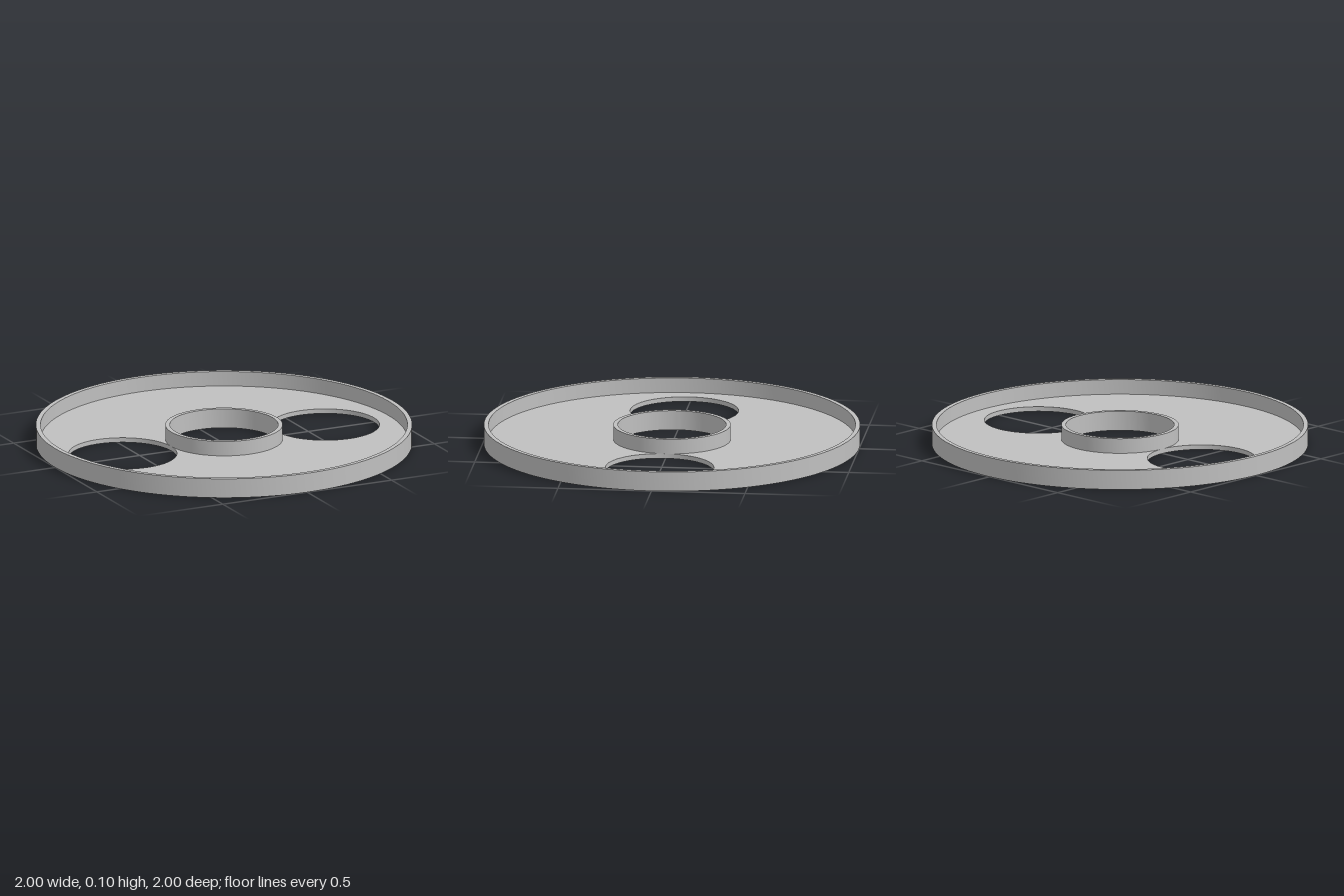
import * as THREE from 'three';
import { toCreasedNormals } from 'three/addons/utils/BufferGeometryUtils.js';

const HEIGHT = 0.105, FLOOR = 0.025;
const HOLE_R = 0.288, HOLE_X = 0.6;
const HUB_R = 0.312, RIM_INNER = 0.975;

// Flat disc standing on y = 0, pierced by round holes given as [x, radius]
function piercedDisc(radius, height, holes) {
  const shape = new THREE.Shape().absarc(0, 0, radius, 0, Math.PI * 2);
  for (const [x, r] of holes) {
    shape.holes.push(new THREE.Path().absarc(x, 0, r, 0, Math.PI * 2, true));
  }
  const geometry = new THREE.ExtrudeGeometry(shape, {
    depth: height, bevelEnabled: false, curveSegments: 96,
  });
  geometry.rotateX(-Math.PI / 2);
  return toCreasedNormals(geometry, 0.6);
}

export function createModel() {
  const group = new THREE.Group();
  group.name = 'roundTray';
  const grey = new THREE.MeshStandardMaterial({ color: 0xbfbfbf });
  grey.name = 'grey';

  const add = (name, geometry) => {
    const mesh = new THREE.Mesh(geometry, grey);
    mesh.name = name;
    group.add(mesh);
  };

  // Thin floor with two side holes; its centre opening is hidden in the hub wall
  add('floor', piercedDisc(RIM_INNER, FLOOR, [[0, 0.3], [-HOLE_X, HOLE_R], [HOLE_X, HOLE_R]]));
  // Raised outer wall
  add('outerRim', piercedDisc(1, HEIGHT, [[0, RIM_INNER]]));
  // Raised collar around the centre hole
  add('hubCollar', piercedDisc(HUB_R, HEIGHT, [[0, HOLE_R]]));

  return group;
}
